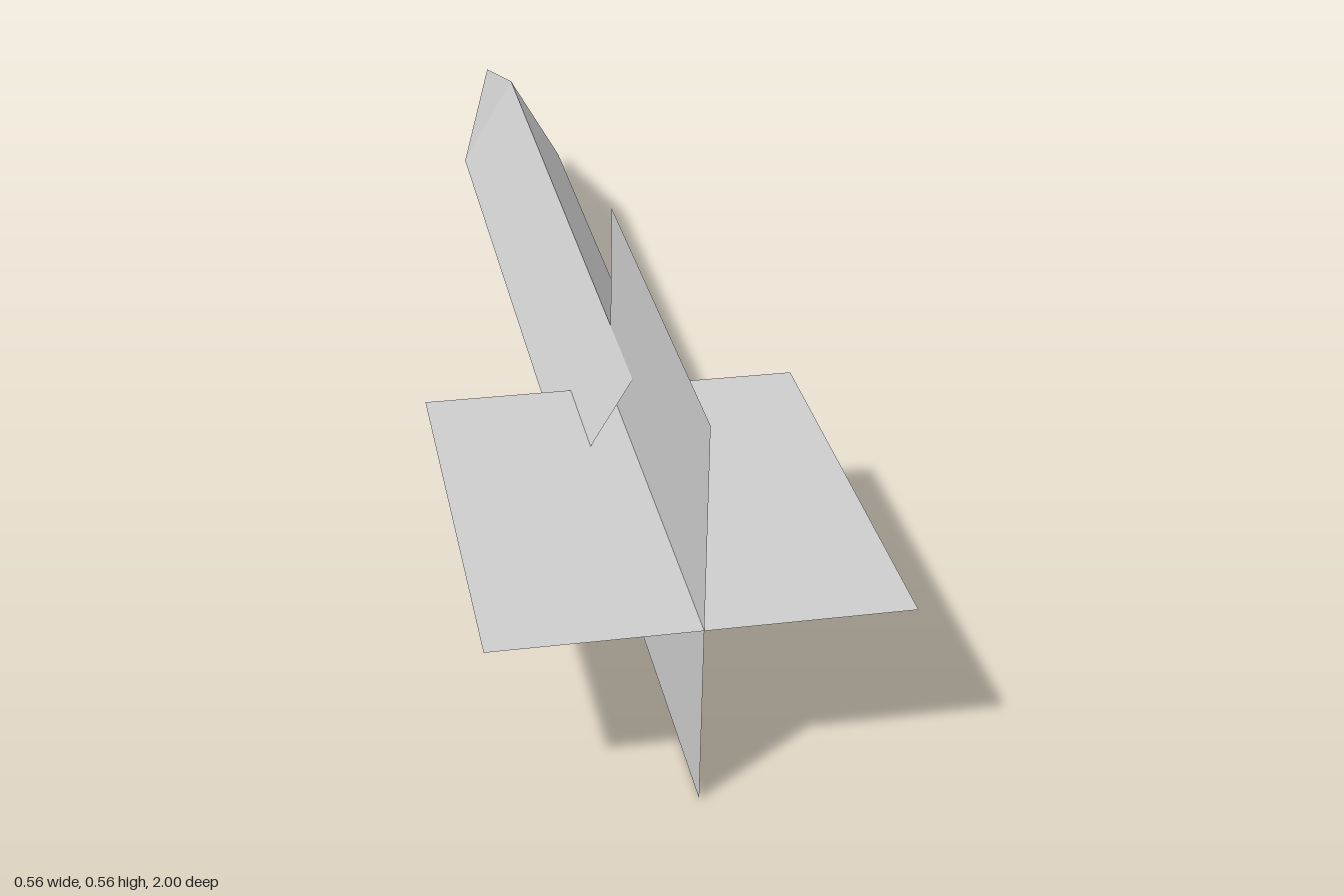
import * as THREE from 'three';

const AXIS_Y = 0.262;      // height of the shaft's centre line
const RADIUS = 0.1035;     // corner radius of the triangular section
const NOSE_Z = -0.66, TAIL_Z = 0.527;
const FIN_FRONT_Z = 0.358, FIN_SPAN = 0.556;

export function createModel() {
  const model = new THREE.Group();
  model.name = 'dart';

  const grey = new THREE.MeshStandardMaterial({ color: 0xcccccc, side: THREE.DoubleSide });
  grey.name = 'grey';

  function add(name, geometry, x, y, z) {
    const mesh = new THREE.Mesh(geometry, grey);
    mesh.name = name;
    mesh.position.set(x, y, z);
    model.add(mesh);
  }

  // Open three-sided section lying along z, with its ridge on top and flat faces
  function triangularTube(frontRadius, length) {
    const geometry = new THREE.CylinderGeometry(frontRadius, RADIUS, length, 3, 1, true)
      .rotateX(-Math.PI / 2)
      .toNonIndexed();
    geometry.computeVertexNormals();
    return geometry;
  }

  // Shaft, open at the tail, and pointed tip
  add('shaft', triangularTube(RADIUS, TAIL_Z - NOSE_Z), 0, AXIS_Y, (TAIL_Z + NOSE_Z) / 2);
  add('tip', triangularTube(0, NOSE_Z + 1), 0, AXIS_Y, (NOSE_Z - 1) / 2);

  // Two crossed sheets make the tail fins
  const finLength = 1 - FIN_FRONT_Z;
  const finZ = (1 + FIN_FRONT_Z) / 2;
  const verticalFin = new THREE.PlaneGeometry(finLength, FIN_SPAN).rotateY(Math.PI / 2);
  const horizontalFin = new THREE.PlaneGeometry(FIN_SPAN, finLength).rotateX(-Math.PI / 2);
  add('verticalFin', verticalFin, 0, FIN_SPAN / 2, finZ);
  add('horizontalFin', horizontalFin, 0, AXIS_Y, finZ);

  return model;
}
